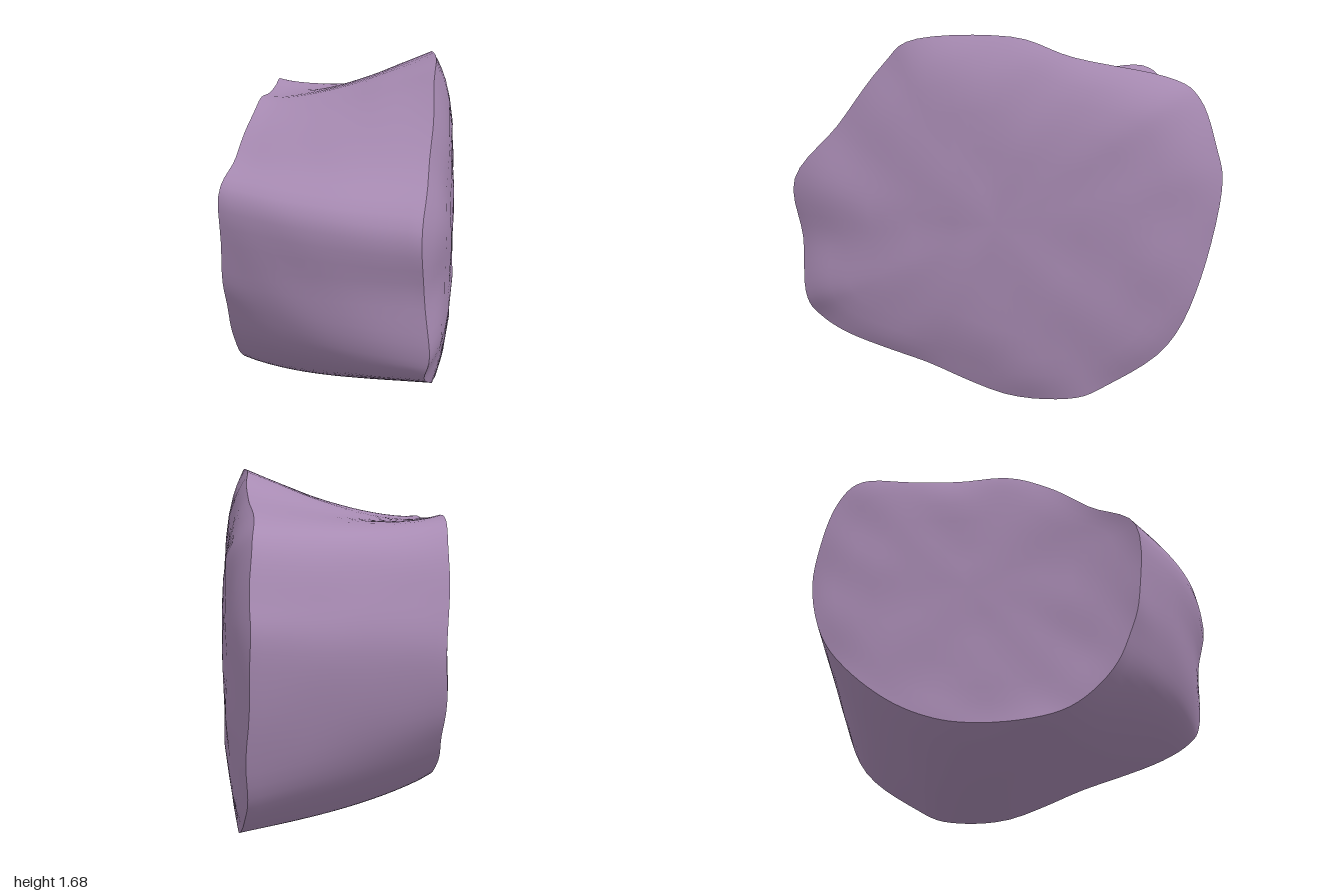
import * as THREE from 'three';
import { mergeVertices, toCreasedNormals } from 'three/addons/utils/BufferGeometryUtils.js';

// Matching rim points of the two broad faces: [x, y, z], starting at the front upper corner
const RIGHT_RIM = [
  [-0.06, 1.0, 0.99], [0.05, 1.26, 0.79], [0.15, 1.54, 0.59], [0.22, 1.66, 0.44],
  [0.37, 1.67, 0.04], [0.48, 1.58, -0.22], [0.61, 1.5, -0.6], [0.68, 1.41, -0.73],
  [0.72, 1.2, -0.8], [0.73, 1.0, -0.83], [0.72, 0.6, -0.75], [0.67, 0.28, -0.62],
  [0.59, 0.08, -0.36], [0.53, 0.01, -0.19], [0.4, 0.01, 0.08], [0.24, 0.14, 0.42],
  [0.1, 0.25, 0.74], [0.0, 0.34, 0.9], [-0.01, 0.46, 0.96], [-0.04, 0.72, 0.96],
];
const LEFT_RIM = [
  [-0.76, 1.08, 0.38], [-0.65, 1.22, 0.2], [-0.54, 1.37, 0.03], [-0.45, 1.45, -0.13],
  [-0.35, 1.46, -0.36], [-0.26, 1.48, -0.58], [-0.17, 1.5, -0.8], [-0.12, 1.4, -0.91],
  [-0.09, 1.2, -0.97], [-0.07, 0.95, -1.0], [-0.11, 0.68, -0.94], [-0.17, 0.5, -0.82],
  [-0.26, 0.34, -0.65], [-0.34, 0.24, -0.47], [-0.42, 0.2, -0.3], [-0.54, 0.2, -0.05],
  [-0.62, 0.26, 0.13], [-0.69, 0.4, 0.27], [-0.73, 0.56, 0.34], [-0.76, 0.74, 0.38],
];
const SEGMENTS = 100;
const SIDE_STEPS = 16;
const AXIS = new THREE.Vector3(0.914, 0, 0.406).normalize(); // from the left face to the right face
const FRONT = new THREE.Vector3(-0.66, 0, 0.75);

// Smooth closed loop through the rim points
function rimLoop(points) {
  const curve = new THREE.CatmullRomCurve3(points.map((p) => new THREE.Vector3(...p)), true, 'catmullrom', 0.5);
  return Array.from({ length: SEGMENTS }, (_, i) => curve.getPoint(i / SEGMENTS));
}

// Loops shrinking from a rim to the middle, rounding over onto a nearly flat face
function capLoops(rim, depth, dome) {
  const centre = rim.reduce((sum, p) => sum.add(p), new THREE.Vector3()).divideScalar(SEGMENTS);
  return [0.98, 0.95, 0.91, 0.85, 0.75, 0.6, 0.4, 0.2, 0].map((s) =>
    rim.map((p) => {
      const q = centre.clone().lerp(p, s);
      const face = depth + dome * (1 - s * s);
      return q.addScaledVector(AXIS, (face - q.dot(AXIS)) * (1 - s ** 6));
    }));
}

// Loops running from rim to rim: the front end bulges, top and underside dip
function sideLoops(left, right) {
  return Array.from({ length: SIDE_STEPS + 1 }, (_, k) => {
    const t = k / SIDE_STEPS;
    return left.map((p, i) => {
      const turn = (i / SEGMENTS) * Math.PI * 2;
      const front = THREE.MathUtils.smoothstep(Math.cos(turn + 0.25), 0.5, 1);
      const level = Math.cos(turn - 0.4 * Math.PI) ** 2;
      const q = p.clone().lerp(right[i], t);
      q.addScaledVector(FRONT, 0.07 * front * Math.sin(Math.PI * t));
      q.y -= 0.05 * level * Math.sin(Math.PI * t ** 0.75);
      return q;
    });
  });
}

// Small uneven bumps
function weather(p) {
  const a = Math.sin(p.x * 9 + p.y * 7) * Math.sin(p.z * 8 - p.y * 5);
  const b = Math.sin(p.y * 17 + p.z * 13) * Math.sin(p.x * 15 + 1);
  return p.clone().addScaledVector(AXIS, 0.006 * a + 0.003 * b);
}

function rockGeometry() {
  const left = rimLoop(LEFT_RIM);
  const right = rimLoop(RIGHT_RIM);
  const loops = [
    ...capLoops(left, -0.495, 0.005).reverse(),
    ...sideLoops(left, right),
    ...capLoops(right, 0.445, 0.03),
  ];

  // Skin the loops; the first and last close to a point
  const index = [];
  const last = loops.length - 2;
  for (let j = 0; j <= last; j++) {
    for (let i = 0; i < SEGMENTS; i++) {
      const a = j * SEGMENTS + i, b = j * SEGMENTS + (i + 1) % SEGMENTS;
      const c = a + SEGMENTS, d = b + SEGMENTS;
      if (j > 0) index.push(a, c, b);
      if (j < last) index.push(b, c, d);
    }
  }
  const geometry = new THREE.BufferGeometry();
  geometry.setAttribute('position',
    new THREE.Float32BufferAttribute(loops.flat().flatMap((p) => weather(p).toArray()), 3));
  geometry.setIndex(index);

  // Stand on the ground, centred
  geometry.computeBoundingBox();
  const mid = geometry.boundingBox.getCenter(new THREE.Vector3());
  geometry.translate(-mid.x, -geometry.boundingBox.min.y, -mid.z);
  return toCreasedNormals(mergeVertices(geometry, 1e-4), 0.6);
}

export function createModel() {
  const group = new THREE.Group();
  group.name = 'rock';
  const boulder = new THREE.Mesh(rockGeometry(), new THREE.MeshStandardMaterial({ color: 0xa88bb3 }));
  boulder.name = 'boulder';
  group.add(boulder);
  return group;
}
